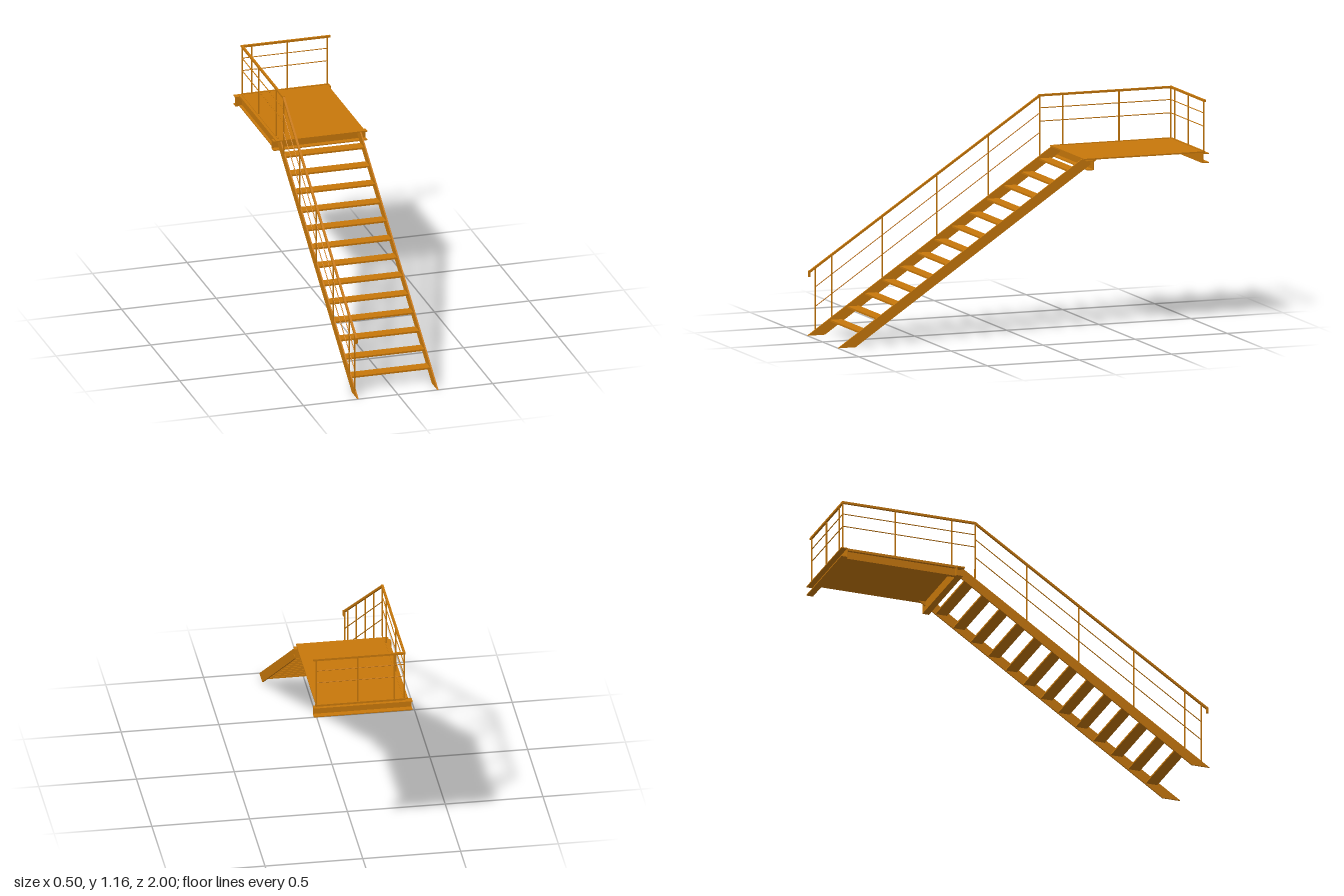
import * as THREE from 'three';

const material = new THREE.MeshStandardMaterial({ color: 0xc8780a, flatShading: true });
const SLOPE = 0.672;                               // rise per unit of run
const RAIL_X = -0.216, BACK_Z = -0.977, KNEE_Z = -0.265, DECK_Y = 0.893;

export function createModel() {
  const root = new THREE.Group();
  root.name = 'staircase';

  const group = (name) => {
    const g = new THREE.Group();
    g.name = name;
    root.add(g);
    return g;
  };
  const add = (parent, name, geometry) => {
    const mesh = new THREE.Mesh(geometry, material);
    mesh.name = name;
    parent.add(mesh);
    return mesh;
  };
  // Box given by its minimum and maximum on each axis
  const box = (parent, name, [x0, x1], [y0, y1], [z0, z1]) =>
    add(parent, name, new THREE.BoxGeometry(x1 - x0, y1 - y0, z1 - z0))
      .position.set((x0 + x1) / 2, (y0 + y1) / 2, (z0 + z1) / 2);
  // Square bar or round rod between two points
  const bar = (parent, name, a, b, size, round = false) => {
    const from = new THREE.Vector3(...a), to = new THREE.Vector3(...b);
    const length = from.distanceTo(to);
    const geometry = round
      ? new THREE.CylinderGeometry(size / 2, size / 2, length, 8).rotateX(Math.PI / 2)
      : new THREE.BoxGeometry(size, size, length);
    const mesh = add(parent, name, geometry);
    mesh.position.copy(from).lerp(to, 0.5);
    mesh.lookAt(to);
  };

  // Stringers: sloping plates cut level at the floor and the landing
  const profile = new THREE.Shape([
    [1, 0], [-0.325, 0.889], [-0.41, 0.885], [0.905, 0],
  ].map(([z, y]) => new THREE.Vector2(-z, y)));
  const stringers = group('stringers');
  for (const x of [-0.211, 0.211]) {
    const g = new THREE.ExtrudeGeometry(profile, { depth: 0.007, bevelEnabled: false });
    g.translate(0, 0, -0.0035).rotateY(Math.PI / 2);
    add(stringers, 'stringer', g).position.x = x;
  }

  // Treads
  const treads = group('treads');
  for (let i = 0; i < 13; i++) {
    const y = 0.07 + i * 0.0632, z = 0.845 - i * 0.0945;
    box(treads, 'tread', [-0.209, 0.209], [y - 0.0045, y + 0.0045], [z - 0.031, z + 0.031]);
  }

  // Landing: deck plate on channel beams whose flanges point outward
  const landing = group('landing');
  box(landing, 'deckPlate', [-0.235, 0.235], [0.886, DECK_Y], [-0.972, -0.327]);
  const Y0 = 0.835, Y1 = 0.886, T = 0.005;
  const crossChannel = (name, xs, zWeb, zTip) => {
    const s = Math.sign(zTip - zWeb);
    const span = (a, b) => [Math.min(a, b), Math.max(a, b)];
    box(landing, name + 'Web', xs, [Y0, Y1], span(zWeb, zWeb + s * T));
    for (const y of [Y0, Y1 - T])
      box(landing, name + 'Flange', xs, [y, y + T], span(zWeb + s * T, zTip));
  };
  crossChannel('frontChannel', [-0.245, 0.25], -0.375, -0.34);
  crossChannel('backChannel', [-0.255, 0.25], -0.965, -1);
  box(landing, 'sideChannelWeb', [-0.221, -0.216], [Y0, Y1], [-0.965, -0.375]);
  for (const y of [Y0, Y1 - T])
    box(landing, 'sideChannelFlange', [-0.235, -0.221], [y, y + T], [-0.965, -0.375]);

  // Handrail: up the stairs, along the landing and across its back
  const handrail = group('handrail');
  const R = 0.011, top = 1.154;
  const path = [
    [RAIL_X, 0.3, 0.987], [RAIL_X, 0.325, 0.987], [RAIL_X, top, KNEE_Z],
    [RAIL_X, top, BACK_Z], [0.25, top, BACK_Z],
  ];
  for (let i = 1; i < path.length; i++)
    bar(handrail, 'handrailBar', path[i - 1], path[i], R);
  for (const p of path.slice(1, 4))
    add(handrail, 'handrailJoint', new THREE.BoxGeometry(R, R, R)).position.set(...p);

  // Posts
  const posts = group('posts');
  const P = 0.006;
  const railY = (z) => 0.325 + (0.987 - z) * (top - 0.325) / (0.987 - KNEE_Z);
  for (const z of [0.955, 0.865, 0.59, 0.295, 0.015, KNEE_Z])
    bar(posts, 'stairPost', [RAIL_X, (1 - z) * SLOPE - 0.005, z], [RAIL_X, railY(z), z], P);
  for (const z of [-0.39, -0.695, BACK_Z])
    bar(posts, 'sidePost', [RAIL_X, 0.885, z], [RAIL_X, top, z], P);
  for (const x of [-0.165, 0.022, 0.235])
    bar(posts, 'backPost', [x, 0.885, BACK_Z], [x, top, BACK_Z], P);

  // Intermediate rails
  const rods = group('midRails');
  for (const [low, level] of [[0.145, 1.022], [0.245, 1.09]]) {
    const end = low + (0.955 - KNEE_Z) * SLOPE;
    bar(rods, 'stairMidRail', [RAIL_X, low, 0.957], [RAIL_X, end, KNEE_Z], 0.005, true);
    bar(rods, 'sideMidRail', [RAIL_X, level, KNEE_Z], [RAIL_X, level, BACK_Z], 0.005, true);
    bar(rods, 'backMidRail', [RAIL_X, level, BACK_Z], [0.235, level, BACK_Z], 0.005, true);
  }

  // Foot strips under the landing posts
  box(rods, 'sideFootStrip', [-0.221, -0.211], [0.886, 0.896], [BACK_Z, -0.36]);
  box(rods, 'backFootStrip', [-0.221, 0.239], [0.886, 0.896], [-0.982, -0.972]);

  return root;
}
